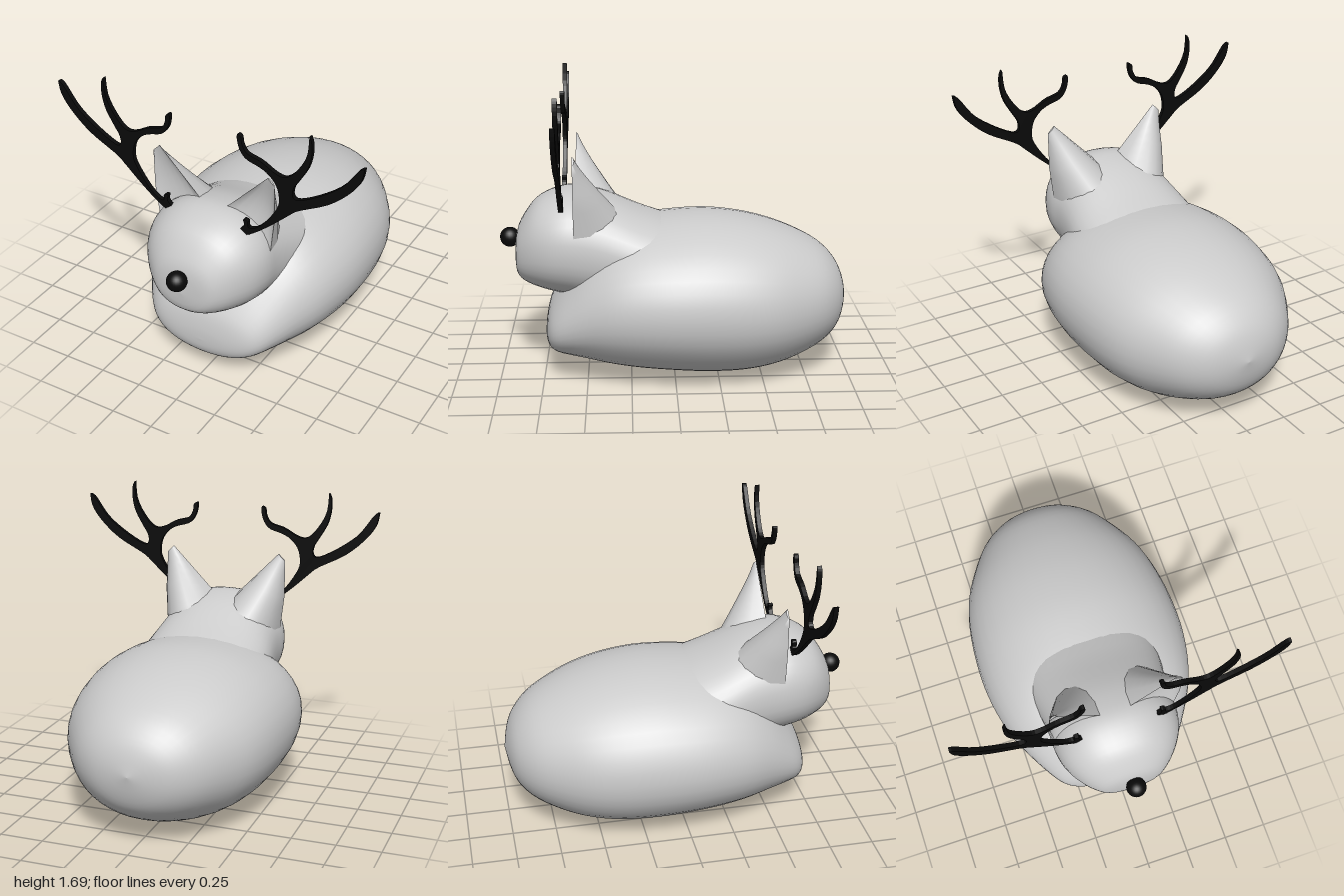
import * as THREE from 'three';
import { toCreasedNormals } from 'three/addons/utils/BufferGeometryUtils.js';

const grey = new THREE.MeshStandardMaterial({ color: 0xcccccc });
const black = new THREE.MeshStandardMaterial({ color: 0x0a0a0a });

// Skin a list of closed rings (arrays of Vector3, equal length)
function skin(rings) {
  const n = rings[0].length, pos = [], idx = [];
  rings.forEach(r => r.forEach(p => pos.push(p.x, p.y, p.z)));
  for (let i = 0; i < rings.length - 1; i++) {
    for (let j = 0; j < n; j++) {
      const a = i * n + j, b = i * n + (j + 1) % n;
      idx.push(a, b, a + n, b, b + n, a + n);
    }
  }
  const g = new THREE.BufferGeometry();
  g.setAttribute('position', new THREE.Float32BufferAttribute(pos, 3));
  g.setIndex(idx);
  g.computeVertexNormals();
  return g;
}

// Rounded sections along z; each row is [z, top, bottom, half width]
function loft(rows, power) {
  const n = 40, steps = (rows.length - 1) * 3;
  const spine = new THREE.CatmullRomCurve3(rows.map(r => new THREE.Vector3(r[0], r[1], r[2])), false, 'catmullrom');
  const width = new THREE.CatmullRomCurve3(rows.map(r => new THREE.Vector3(r[3], 0, 0)), false, 'catmullrom');
  const round = v => Math.sign(v) * Math.abs(v) ** power;
  const rings = [];
  for (let i = 0; i <= steps; i++) {
    const s = spine.getPoint(i / steps), w = Math.max(0.0005, width.getPoint(i / steps).x);
    const mid = (s.y + s.z) / 2, h = Math.max(0.0005, (s.y - s.z) / 2);
    rings.push(Array.from({ length: n }, (_, j) => {
      const a = (j / n) * Math.PI * 2;
      return new THREE.Vector3(w * round(Math.cos(a)), mid + h * round(Math.sin(a)), s.x);
    }));
  }
  return skin(rings);
}

// Ear: half-round behind, slightly hollow in front, tapering to a blunt tip
function earGeometry() {
  const rings = [], half = 8, steps = 8;
  for (let i = 0; i <= steps; i++) {
    const t = i / steps;
    const outer = new THREE.Vector3(0.35 + 0.025 * Math.min(1, t * 2), 0.84 + 0.44 * t, 0.565);
    const inner = new THREE.Vector3(0.05 + 0.285 * t, 1.03 + 0.29 * t, 0.565);
    const depth = 0.25 * (1 - t) ** 1.15 + 0.012;
    const hollow = 0.035 * Math.sin(Math.PI * t);
    const ring = [];
    for (let j = 0; j < half * 2; j++) {
      const a = (j / half) * Math.PI;
      const p = outer.clone().lerp(inner, (1 - Math.cos(a)) / 2);
      p.z -= Math.sin(a) > 0 ? depth * Math.sin(a) : -hollow * Math.sin(a);
      ring.push(p);
    }
    rings.push(ring);
  }
  const tip = new THREE.Vector3(0.355, 1.3, 0.56);
  rings.push(rings[steps].map(() => tip.clone()));
  return toCreasedNormals(skin(rings), 0.9);
}

// Antler: a branched outline cut from a thin plate
function antlerGeometry() {
  const edges = [
    // base, inner edge, up to the inner tine
    [[0.2, 1], [0.24, 1.045], [0.235, 1.08], [0.262, 1.075], [0.265, 1.04], [0.31, 1.05],
      [0.37, 1.11], [0.435, 1.21], [0.45, 1.27], [0.435, 1.345], [0.39, 1.4], [0.335, 1.43],
      [0.257, 1.455], [0.217, 1.505], [0.203, 1.565], [0.207, 1.588]],
    // inner tine to middle tine
    [[0.207, 1.588], [0.227, 1.575], [0.233, 1.535], [0.262, 1.49], [0.345, 1.465],
      [0.43, 1.42], [0.49, 1.417], [0.55, 1.475], [0.605, 1.575], [0.617, 1.69]],
    // middle tine to outer tine
    [[0.617, 1.69], [0.63, 1.66], [0.632, 1.59], [0.612, 1.505], [0.563, 1.417], [0.533, 1.367],
      [0.528, 1.318], [0.563, 1.303], [0.676, 1.362], [0.8, 1.456], [0.888, 1.575], [0.92, 1.594]],
    // outer edge back to the base
    [[0.92, 1.594], [0.903, 1.515], [0.84, 1.427], [0.726, 1.328], [0.563, 1.24],
      [0.503, 1.19], [0.405, 1.1], [0.306, 1.02], [0.242, 0.985], [0.2, 1]],
  ];
  const points = [];
  edges.forEach(e => {
    const curve = new THREE.SplineCurve(e.map(p => new THREE.Vector2(...p)));
    points.push(...curve.getPoints(e.length * 3).slice(0, -1));
  });
  const g = new THREE.ExtrudeGeometry(new THREE.Shape(points), { depth: 0.026, bevelEnabled: false });
  return g.translate(0, 0, 0.623);
}

export function createModel() {
  const model = new THREE.Group();
  const add = (name, geometry, material, parent = model) => {
    const mesh = new THREE.Mesh(geometry, material);
    mesh.name = name;
    parent.add(mesh);
    return mesh;
  };

  // Plump resting body, from rump to chest
  add('body', loft([
    [-1, 0.44, 0.44, 0], [-0.975, 0.55, 0.32, 0.15], [-0.93, 0.64, 0.225, 0.26],
    [-0.84, 0.73, 0.145, 0.37], [-0.7, 0.805, 0.075, 0.47], [-0.55, 0.86, 0.03, 0.55],
    [-0.38, 0.9, 0.005, 0.598], [-0.18, 0.92, 0.002, 0.622], [0.02, 0.91, 0.015, 0.624],
    [0.2, 0.885, 0.03, 0.6], [0.35, 0.83, 0.05, 0.557], [0.48, 0.73, 0.075, 0.49],
    [0.59, 0.6, 0.098, 0.42], [0.67, 0.49, 0.117, 0.355], [0.715, 0.41, 0.145, 0.28],
    [0.737, 0.32, 0.19, 0.16], [0.742, 0.25, 0.25, 0],
  ], 0.97), grey);

  // Neck and head, blending out of the back
  add('head', loft([
    [-0.1, 0.84, 0.4, 0.36], [0.05, 0.895, 0.4, 0.4], [0.2, 0.95, 0.4, 0.4],
    [0.38, 1.03, 0.42, 0.375], [0.5, 1.065, 0.44, 0.365], [0.6, 1.075, 0.46, 0.365],
    [0.7, 1.05, 0.48, 0.342], [0.79, 1, 0.505, 0.29], [0.86, 0.91, 0.535, 0.22],
    [0.9, 0.82, 0.58, 0.145], [0.912, 0.68, 0.68, 0],
  ], 0.9), grey);

  const nose = add('nose', new THREE.SphereGeometry(0.057, 24, 16), black);
  nose.position.set(0, 0.78, 0.943);

  // Ears and antlers, mirrored
  const ear = earGeometry(), antler = antlerGeometry();
  for (const side of [1, -1]) {
    const half = new THREE.Group();
    half.name = side > 0 ? 'leftEarAndAntler' : 'rightEarAndAntler';
    half.scale.x = side;
    add('ear', ear, grey, half);
    add('antler', antler, black, half);
    model.add(half);
  }
  return model;
}
